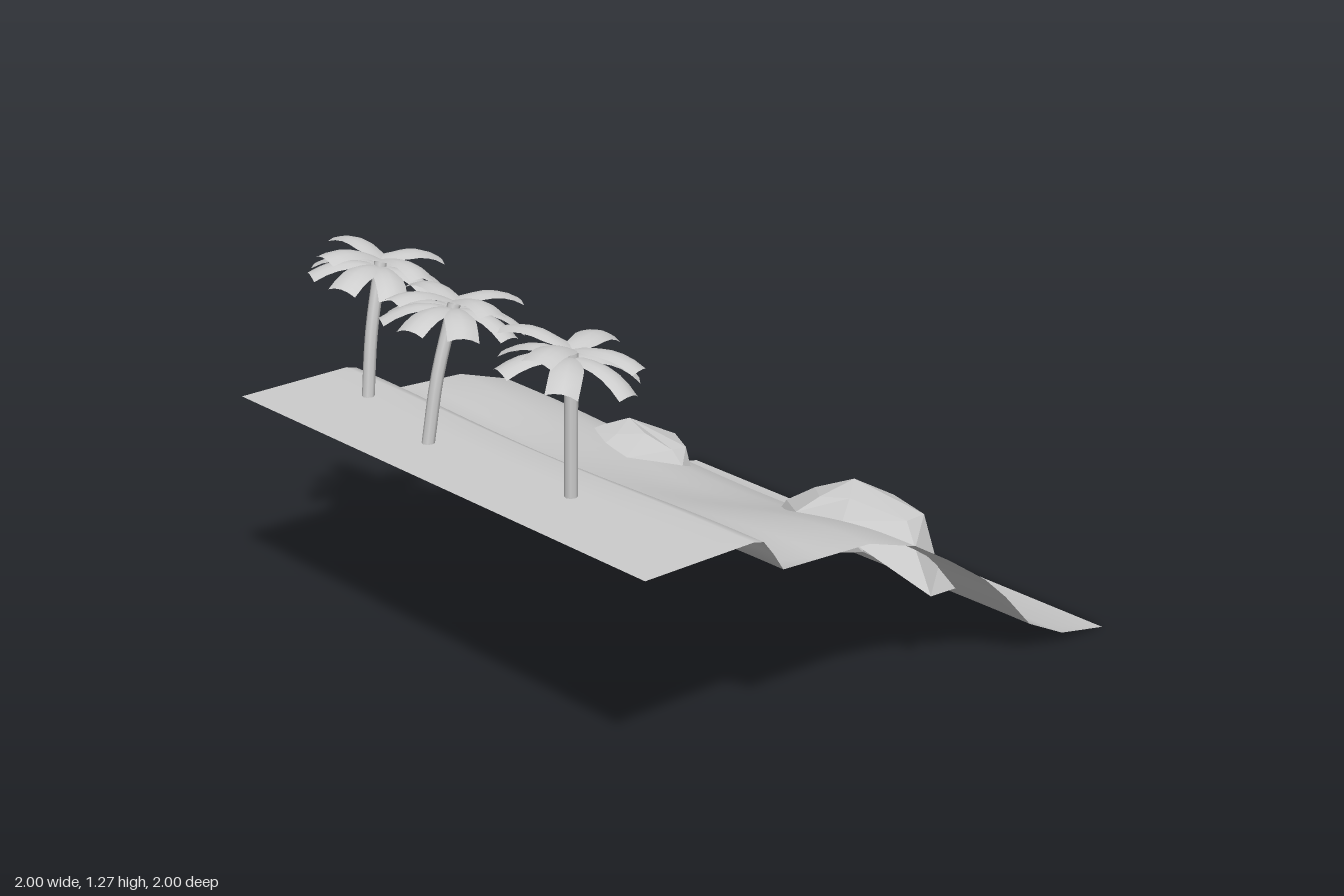
import * as THREE from 'three';

const material = new THREE.MeshStandardMaterial({ color: 0xcccccc, side: THREE.DoubleSide });
const rockMaterial = new THREE.MeshStandardMaterial({ color: 0xcccccc, side: THREE.DoubleSide, flatShading: true });

function addMesh(parent, name, geometry, mat = material) {
  const mesh = new THREE.Mesh(geometry, mat);
  mesh.name = name;
  parent.add(mesh);
  return mesh;
}

// Slope profile, back to front: z, height at the sides, height in the central gully
const profile = [
  [-1, 0, 0], [-0.8, 0.04, 0.04], [-0.64, 0.12, 0.11], [-0.52, 0.25, 0.23], [-0.42, 0.34, 0.32],
  [-0.25, 0.455, 0.395], [-0.1, 0.545, 0.435], [0.1, 0.61, 0.495], [0.28, 0.62, 0.56], [0.46, 0.63, 0.605],
  [0.5, 0.69, 0.66], [0.54, 0.74, 0.72], [0.58, 0.75, 0.74], [0.7, 0.75, 0.75], [1, 0.75, 0.75],
];

function terrainGeometry() {
  const columns = 28;
  const geometry = new THREE.PlaneGeometry(2, 2, columns, profile.length - 1);
  const pos = geometry.attributes.position;
  for (let i = 0; i < pos.count; i++) {
    const [z, side, gully] = profile[Math.floor(i / (columns + 1))];
    const x = pos.getX(i);
    const d = Math.min(1, Math.abs(x + 0.03) / 0.95);
    const w = 0.5 + 0.5 * Math.cos(Math.PI * d);
    pos.setXYZ(i, x, side + (gully - side) * w, z);
  }
  geometry.computeVertexNormals();
  return geometry;
}

// Open-bottomed faceted boulder: rings from the outside in, closed by an apex
function rockGeometry(rings, apex) {
  const n = rings[0].length;
  const points = [...rings.flat(), apex];
  const index = [];
  for (let r = 0; r < rings.length; r++) {
    for (let i = 0; i < n; i++) {
      const a = r * n + i, b = r * n + (i + 1) % n;
      if (r === rings.length - 1) index.push(a, b, points.length - 1);
      else index.push(a, b, b + n, a, b + n, a + n);
    }
  }
  const geometry = new THREE.BufferGeometry();
  geometry.setAttribute('position', new THREE.Float32BufferAttribute(points.flat(), 3));
  geometry.setIndex(index);
  const flat = geometry.toNonIndexed();
  flat.computeVertexNormals();
  return flat;
}

// Each ring runs from +x through -z, -x and +z: buried skirt, ground line, shoulder
const rightRock = [
  [[0.9, 0.29, -0.28], [0.8, 0.22, -0.5], [0.55, 0.19, -0.53], [0.36, 0.2, -0.52],
    [0.21, 0.18, -0.4], [0.26, 0.38, -0.2], [0.47, 0.46, -0.09], [0.72, 0.44, -0.14]],
  [[0.76, 0.39, -0.35], [0.74, 0.28, -0.48], [0.55, 0.24, -0.55], [0.35, 0.27, -0.52],
    [0.26, 0.37, -0.38], [0.28, 0.44, -0.24], [0.47, 0.495, -0.1], [0.64, 0.505, -0.14]],
  [[0.7, 0.46, -0.37], [0.68, 0.45, -0.47], [0.5, 0.45, -0.515], [0.36, 0.45, -0.5],
    [0.31, 0.45, -0.37], [0.36, 0.495, -0.29], [0.475, 0.522, -0.2], [0.56, 0.528, -0.25]],
];
const leftRock = [
  [[-0.16, 0.2, -0.25], [-0.27, 0.28, -0.32], [-0.49, 0.15, -0.4], [-0.73, 0.26, -0.36],
    [-0.82, 0.11, -0.27], [-0.7, 0.38, -0.1], [-0.5, 0.43, 0.02], [-0.3, 0.43, -0.02]],
  [[-0.24, 0.4, -0.25], [-0.26, 0.36, -0.31], [-0.42, 0.32, -0.4], [-0.58, 0.34, -0.37],
    [-0.61, 0.43, -0.2], [-0.54, 0.485, -0.07], [-0.4, 0.48, -0.02], [-0.29, 0.47, -0.04]],
  [[-0.28, 0.45, -0.24], [-0.29, 0.44, -0.31], [-0.43, 0.43, -0.385], [-0.56, 0.43, -0.35],
    [-0.56, 0.47, -0.2], [-0.52, 0.5, -0.14], [-0.42, 0.5, -0.11], [-0.35, 0.505, -0.18]],
];

// Broad blunt frond pointing to -z, arched along its length and across its width
function frondGeometry(length, rise, droop) {
  const geometry = new THREE.PlaneGeometry(1, 1, 4, 6);
  const pos = geometry.attributes.position;
  for (let i = 0; i < pos.count; i++) {
    const t = pos.getY(i) + 0.5;
    const s = pos.getX(i) * 2;
    const width = 0.06 + 0.04 * Math.sin(Math.min(1, t * 1.6) * Math.PI / 2);
    const y = rise * Math.sin(t * Math.PI * 0.6) - droop * t * t - 0.014 * s * s * Math.min(1, t * 3);
    pos.setXYZ(i, s * width / 2, y, -length * t + 0.008 * s * s * t);
  }
  geometry.computeVertexNormals();
  return geometry;
}

const upperFrond = frondGeometry(0.235, 0.05, 0.04);
const lowerFrond = frondGeometry(0.23, 0.035, 0.08);

function createPalm(name, base, top, turn, pitch, roll, lowerCount) {
  const palm = new THREE.Group();
  palm.name = name;
  const foot = new THREE.Vector3(...base);
  const head = new THREE.Vector3(...top);
  const middle = foot.clone().lerp(head, 0.5);
  middle.z += (foot.z - head.z) * 0.12;
  const curve = new THREE.CatmullRomCurve3([foot, middle, head]);
  addMesh(palm, 'trunk', new THREE.TubeGeometry(curve, 8, 0.021, 8));

  const crown = new THREE.Group();
  crown.name = 'crown';
  crown.position.copy(head);
  crown.rotation.set(pitch, 0, roll);
  palm.add(crown);
  const tiers = [['upperFrond', upperFrond, 4, 0.01, 0], ['lowerFrond', lowerFrond, lowerCount, -0.015, 0.4]];
  for (const [label, geometry, count, y, offset] of tiers) {
    for (let i = 0; i < count; i++) {
      const frond = addMesh(crown, label, geometry);
      frond.position.y = y;
      frond.rotation.y = turn + offset + i / count * Math.PI * 2;
    }
  }
  return palm;
}

export function createModel() {
  const model = new THREE.Group();
  model.name = 'hillside';
  addMesh(model, 'terrain', terrainGeometry());
  addMesh(model, 'rightBoulder', rockGeometry(rightRock, [0.48, 0.545, -0.35]), rockMaterial);
  addMesh(model, 'leftBoulder', rockGeometry(leftRock, [-0.48, 0.515, -0.22]), rockMaterial);
  model.add(
    createPalm('leftPalm', [-0.73, 0.735, 0.69], [-0.765, 1.18, 0.595], 0, -0.2, -0.06, 8),
    createPalm('middlePalm', [-0.265, 0.745, 0.8], [-0.262, 1.185, 0.685], -0.12, -0.18, 0.03, 8),
    createPalm('rightPalm', [0.375, 0.745, 0.75], [0.38, 1.21, 0.745], 0.4, -0.17, -0.08, 6),
  );
  return model;
}
